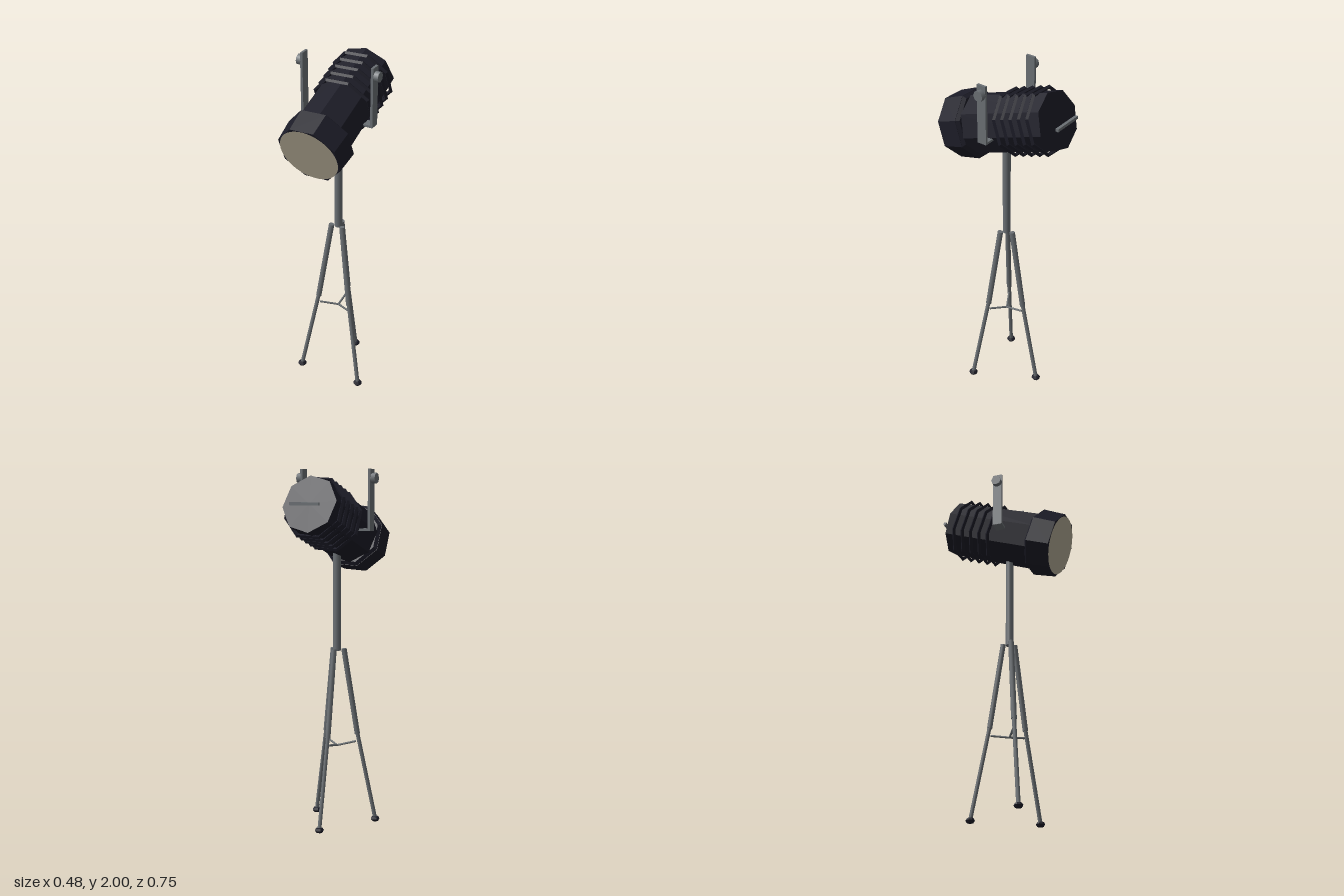
import * as THREE from 'three';

const deg = THREE.MathUtils.degToRad;

export function createModel() {
  const model = new THREE.Group();
  const mat = (name, color, flatShading) => {
    const m = new THREE.MeshStandardMaterial({ color, flatShading });
    m.name = name;
    return m;
  };
  const black = mat('blackPaint', 0x1c1c27, true);
  const metal = mat('greyMetal', 0x6b7074, false);
  const glass = mat('warmLens', 0xb3aa95, false);

  const add = (parent, name, geo, material, x = 0, y = 0, z = 0) => {
    const mesh = new THREE.Mesh(geo, material);
    mesh.name = name;
    mesh.position.set(x, y, z);
    parent.add(mesh);
    return mesh;
  };

  // Round bar between two points
  const bar = (parent, name, a, b, radius, sides = 8) => {
    const dir = b.clone().sub(a);
    const mesh = add(parent, name, new THREE.CylinderGeometry(radius, radius, dir.length(), sides), metal);
    mesh.position.copy(a).add(b).multiplyScalar(0.5);
    mesh.quaternion.setFromUnitVectors(new THREE.Vector3(0, 1, 0), dir.normalize());
    return mesh;
  };

  // Eight-sided drum along z, from zBack to zFront
  const drum = (rFront, rBack, zBack, zFront, turn) =>
    new THREE.CylinderGeometry(rFront, rBack, zFront - zBack, 8, 1, false, deg(turn))
      .rotateX(Math.PI / 2)
      .translate(0, 0, (zFront + zBack) / 2);

  // Lamp head, tilted down towards the front
  const head = new THREE.Group();
  head.name = 'lampHead';
  head.position.set(0, 1.703, 0.001);
  head.rotation.x = deg(20);
  model.add(head);
  add(head, 'barrel', drum(0.165, 0.158, -0.334, 0.21, -7), black);
  add(head, 'hood', drum(0.18, 0.19, 0.2, 0.334, 25.5), black);
  add(head, 'hoodCollar', drum(0.188, 0.17, 0.185, 0.2, 25.5), black);
  add(head, 'lens', new THREE.CircleGeometry(0.167, 40), glass, 0, 0, 0.337);

  // Cooling rings
  for (let i = 0; i < 5; i++) {
    const ring = new THREE.TorusGeometry(0.171, 0.011, 4, 8).rotateZ(deg(25.5));
    add(head, 'coolingRing', ring, black, 0, 0, -0.054 - i * 0.055);
  }

  // Rear handle bar
  add(model, 'rearHandle', new THREE.BoxGeometry(0.172, 0.016, 0.016), metal, 0, 1.819, -0.367);

  // Yoke: crossbar, two upright arms and their knobs
  const yoke = new THREE.Group();
  yoke.name = 'yoke';
  yoke.position.z = 0.006;
  model.add(yoke);
  add(yoke, 'yokeCrossbar', new THREE.BoxGeometry(0.424, 0.013, 0.054), metal, 0, 1.675, 0);
  for (const side of [-1, 1]) {
    add(yoke, 'yokeArm', new THREE.BoxGeometry(0.014, 0.331, 0.054), metal, side * 0.206, 1.8345, 0);
    const knob = new THREE.CylinderGeometry(0.029, 0.029, 0.028, 8).rotateZ(Math.PI / 2);
    add(yoke, 'yokeKnob', knob, metal, side * 0.225, 1.95, 0);
  }

  // Stand: centre pole and three spread legs
  const stand = new THREE.Group();
  stand.name = 'stand';
  stand.position.z = 0.009;
  model.add(stand);
  const P = (r, y, a) => new THREE.Vector3(r * Math.sin(a), y, r * Math.cos(a));
  bar(stand, 'centrePole', P(0, 1.0, 0), P(0, 1.675, 0), 0.022, 12);
  for (const angle of [60, 180, 300]) {
    const a = deg(angle);
    bar(stand, 'upperLeg', P(0.038, 1.01, a), P(0.115, 0.52, a), 0.0155);
    bar(stand, 'lowerLeg', P(0.112, 0.54, a), P(0.219, 0.02, a), 0.0115);
    bar(stand, 'brace', P(0, 0.455, a), P(0.107, 0.477, a), 0.006, 6);
    const foot = add(stand, 'foot', new THREE.SphereGeometry(0.026, 8, 4), black);
    foot.scale.y = 0.66;
    foot.position.copy(P(0.219, 0.018, a));
  }

  return model;
}
